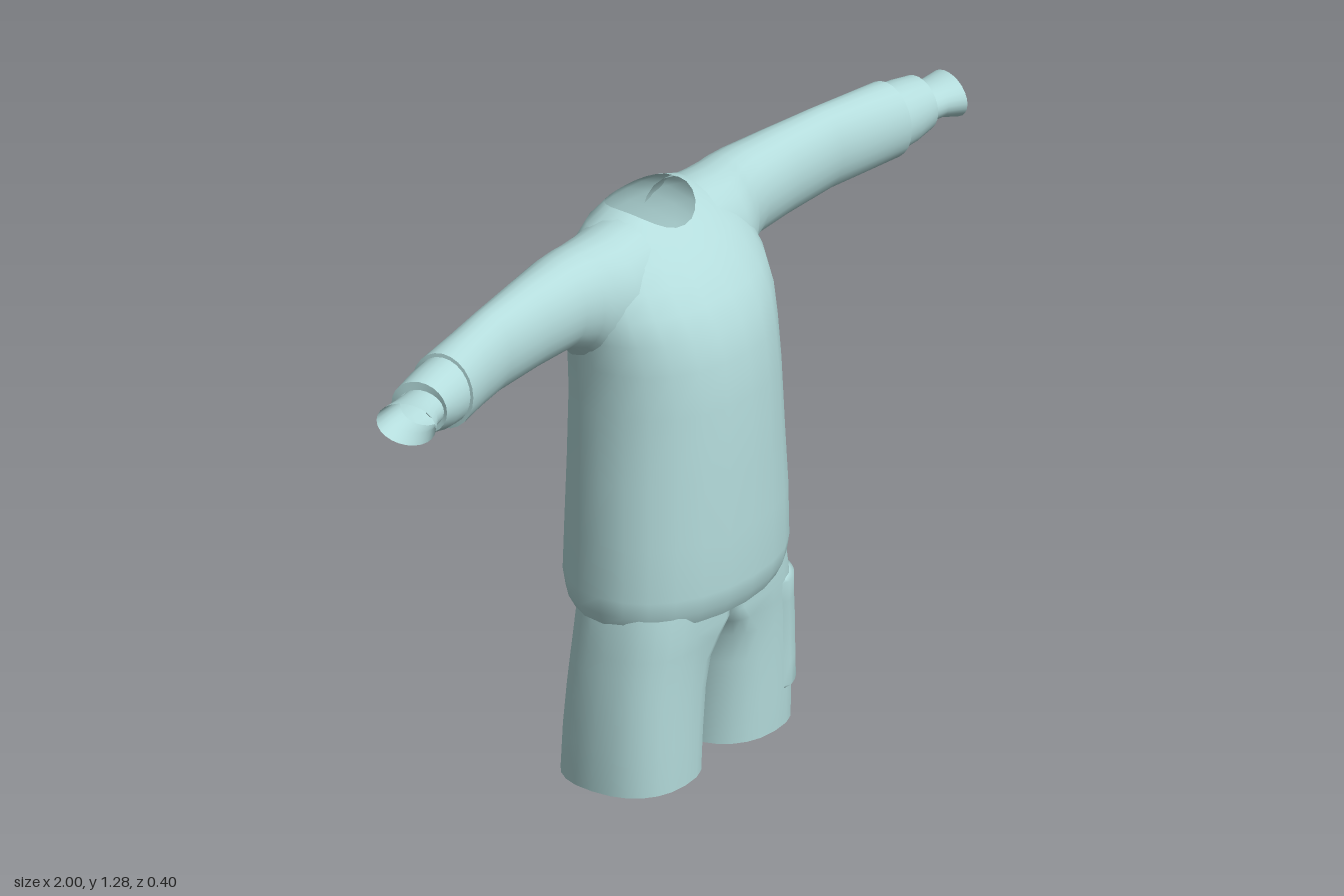
import * as THREE from 'three';

const fabric = new THREE.MeshStandardMaterial({ color: 0xb4dcdc, side: THREE.DoubleSide });
fabric.name = 'pale teal fabric';

const SEG = 24;
const spow = (v, e) => Math.sign(v) * Math.pow(Math.abs(v), e);
const lerp = THREE.MathUtils.lerp;

// Skin a list of point rows; closed rows wrap around.
function loft(name, rows, closed = true) {
  const n = rows[0].length, idx = [];
  for (let r = 0; r < rows.length - 1; r++) {
    for (let i = 0; i < (closed ? n : n - 1); i++) {
      const j = (i + 1) % n, a = r * n + i, b = r * n + j;
      idx.push(a, a + n, b, b, a + n, b + n);
    }
  }
  const g = new THREE.BufferGeometry();
  g.setAttribute('position', new THREE.Float32BufferAttribute(rows.flat(2), 3));
  g.setIndex(idx);
  g.computeVertexNormals();
  const mesh = new THREE.Mesh(g, fabric);
  mesh.name = name;
  return mesh;
}

const ring = (fn) => Array.from({ length: SEG }, (_, i) => fn((i / SEG) * Math.PI * 2));

// Torso cross-section; the height may differ at front, side and back.
function torsoRing([rx, zf, zb, zc, ySide, yFront = ySide, yBack = ySide]) {
  return ring((t) => {
    const c = Math.cos(t), s = Math.sin(t), e = s < 0 ? 0.85 : 0.95;
    return [
      rx * spow(c, e),
      lerp(ySide, s > 0 ? yFront : yBack, s * s),
      zc + (s > 0 ? zf - zc : zc - zb) * spow(s, e),
    ];
  });
}

// Sleeve cross-section in the y-z plane; tilt pulls its front edge inward.
const armRing = (side) => ([x, y0, y1, z0, z1, tilt = 0]) => ring((t) => [
  side * (x - tilt * Math.sin(t)),
  (y0 + y1) / 2 + ((y1 - y0) / 2) * Math.cos(t),
  (z0 + z1) / 2 + ((z1 - z0) / 2) * Math.sin(t),
]);

// Trouser leg stations: y, inner x, outer x, back z, front z, squareness of the inner half
const LEG = [
  [0.0, 0.02, 0.303, -0.15, 0.14, 0.85],
  [0.1, 0.018, 0.3, -0.146, 0.143, 0.85],
  [0.2, 0.014, 0.294, -0.139, 0.144, 0.8],
  [0.27, 0.01, 0.287, -0.134, 0.148, 0.7],
  [0.315, 0.002, 0.281, -0.132, 0.15, 0.4],
  [0.35, 0.0, 0.277, -0.13, 0.154, 0.2],
  [0.41, 0.0, 0.265, -0.128, 0.154, 0.15],
];

function legPoint([y, xi, xo, zb, zf, e], t, off = 0) {
  const c = Math.cos(t), s = Math.sin(t), p = c < 0 ? e : 0.85;
  return [
    (xi + xo) / 2 + ((xo - xi) / 2 + off) * spow(c, c < 0 ? p : 0.85),
    y,
    (zf + zb) / 2 + ((zf - zb) / 2 + off) * spow(s, p),
  ];
}

function legAt(y) {
  let i = 0;
  while (i < LEG.length - 2 && LEG[i + 1][0] < y) i++;
  const f = (y - LEG[i][0]) / (LEG[i + 1][0] - LEG[i][0]);
  return LEG[i].map((v, k) => lerp(v, LEG[i + 1][k], f));
}

function makeArm(side, label) {
  const arm = new THREE.Group();
  arm.name = label + 'Arm';
  const skin = (name, stations) => arm.add(loft(name, stations.map(armRing(side))));
  skin('sleeve', [
    [0.12, 0.98, 1.274, -0.185, 0.05],
    [0.2, 0.97, 1.267, -0.182, 0.05],
    [0.25, 0.99, 1.262, -0.178, 0.03],
    [0.28, 1.025, 1.26, -0.174, 0.014],
    [0.33, 1.045, 1.258, -0.168, 0.004],
    [0.45, 1.05, 1.253, -0.15, -0.002],
    [0.6, 1.055, 1.247, -0.128, 0.0],
    [0.7, 1.055, 1.242, -0.117, 0.016],
    [0.802, 1.06, 1.236, -0.108, 0.04, 0.01],
  ]);
  skin('sleeveEnd', [
    [0.802, 1.06, 1.236, -0.108, 0.04, 0.01],
    [0.804, 1.076, 1.222, -0.095, 0.03, 0.01],
  ]);
  skin('cuff', [
    [0.802, 1.07, 1.228, -0.1, 0.033, 0.01],
    [0.85, 1.075, 1.222, -0.095, 0.038, 0.012],
    [0.902, 1.09, 1.212, -0.085, 0.04, 0.015],
  ]);
  skin('cuffEnd', [
    [0.902, 1.09, 1.212, -0.085, 0.04, 0.015],
    [0.902, 1.107, 1.194, -0.068, 0.03, 0.015],
  ]);
  skin('wristband', [
    [0.895, 1.108, 1.193, -0.068, 0.03, 0.015],
    [0.94, 1.11, 1.193, -0.064, 0.042, 0.018],
    [0.98, 1.1, 1.198, -0.064, 0.064, 0.02],
  ]);
  return arm;
}

function makeLeg(side, label) {
  const leg = new THREE.Group();
  leg.name = label + 'Leg';
  leg.add(loft('trouserLeg', LEG.map((st) => ring((t) => legPoint(st, t)))));
  // Flat hem facing down
  leg.add(loft('legHem', [
    ring((t) => legPoint(LEG[0], t, -0.052)),
    ring((t) => legPoint(LEG[0], t)),
  ]));
  leg.scale.x = side;
  return leg;
}

// Raised pocket wrapped around the outer front of the left leg
function makePocket() {
  const rows = [0.087, 0.093, 0.15, 0.2, 0.25, 0.3, 0.35, 0.356];
  const cols = 14;
  return loft('cargoPocket', rows.map((y, r) =>
    Array.from({ length: cols + 1 }, (_, i) => {
      const edge = r === 0 || r === rows.length - 1 || i === 0 || i === cols;
      return legPoint(legAt(y), lerp(0.03, 1.38, i / cols), edge ? -0.002 : 0.009);
    })), false);
}

export function createModel() {
  const model = new THREE.Group();
  model.name = 'sweaterAndShorts';

  const hem = [0.27, 0.18, -0.172, 0.0, 0.388, 0.384, 0.394];
  // Sweater body from hem to neckline
  model.add(loft('sweaterBody', [
    hem,
    [0.28, 0.196, -0.192, 0.0, 0.415],
    [0.284, 0.203, -0.2, 0.0, 0.455],
    [0.279, 0.203, -0.197, 0.0, 0.58],
    [0.27, 0.201, -0.192, -0.01, 0.72],
    [0.262, 0.198, -0.188, -0.02, 0.88],
    [0.264, 0.187, -0.188, -0.03, 0.98],
    [0.272, 0.17, -0.189, -0.04, 1.05],
    [0.276, 0.14, -0.19, -0.05, 1.105],
    [0.265, 0.103, -0.188, -0.06, 1.155],
    [0.235, 0.067, -0.184, -0.07, 1.21, 1.193, 1.205],
    [0.17, 0.038, -0.174, -0.075, 1.258, 1.22, 1.245],
    [0.102, 0.02, -0.16, -0.075, 1.283, 1.236, 1.266],
  ].map(torsoRing)));
  // Underside folding in toward the shorts
  model.add(loft('sweaterHem', [
    torsoRing([0.235, 0.135, -0.11, 0.0, 0.4]),
    torsoRing(hem),
  ]));

  for (const [side, label] of [[1, 'left'], [-1, 'right']]) {
    model.add(makeArm(side, label), makeLeg(side, label));
  }
  model.add(makePocket());
  return model;
}
